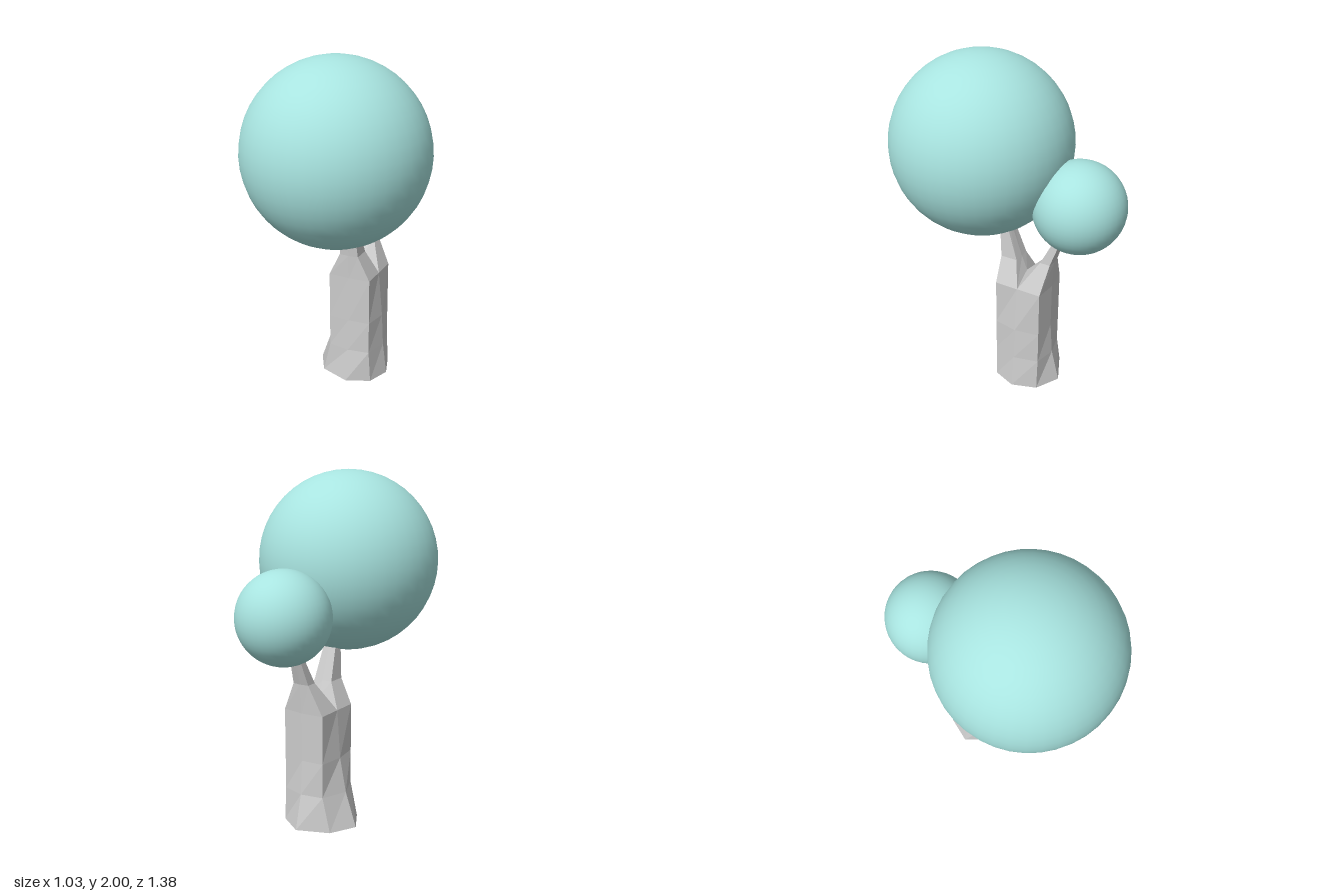
import * as THREE from 'three';

const bark = new THREE.MeshStandardMaterial({ color: 0xcccccc, flatShading: true });
const foliage = new THREE.MeshStandardMaterial({ color: 0xa8e4e0 });

// Skins a stack of equal-length rings (each counter-clockwise seen from above)
function loft(name, rings, capBottom, capTop) {
  const out = [];
  const tri = (a, b, c) => out.push(...a, ...b, ...c);
  const n = rings[0].length;
  for (let r = 0; r < rings.length - 1; r++) {
    for (let i = 0; i < n; i++) {
      const j = (i + 1) % n, lo = rings[r], hi = rings[r + 1];
      tri(lo[i], lo[j], hi[j]);
      tri(lo[i], hi[j], hi[i]);
    }
  }
  const top = rings[rings.length - 1];
  for (let i = 1; i < n - 1; i++) {
    if (capBottom) tri(rings[0][0], rings[0][i + 1], rings[0][i]);
    if (capTop) tri(top[0], top[i], top[i + 1]);
  }
  const g = new THREE.BufferGeometry();
  g.setAttribute('position', new THREE.Float32BufferAttribute(out, 3));
  g.computeVertexNormals();
  const mesh = new THREE.Mesh(g, bark);
  mesh.name = name;
  return mesh;
}

// Eight-sided trunk ring: four side points (left, right, front, back) and four corners
function trunkRing(y, [xL, xR, zF, zB], [cL, cR, cF, cB]) {
  const m = -0.125;
  return [[xL, y, m], [cL, y, cB], [0, y, zB], [cR, y, cB],
    [xR, y, m], [cR, y, cF], [0, y, zF], [cL, y, cF]];
}

// Six-sided branch ring; dir = 1 for the front branch, -1 for the back branch
function branchRing(dir, y, w, inner, outerCorner, outerMid) {
  const s = dir * w;
  return [[s, y, inner + dir * 0.004], [0, y, inner], [-s, y, inner + dir * 0.004],
    [-s, y, outerCorner], [0, y, outerMid], [s, y, outerCorner]];
}

// Branch base: half of the trunk's top ring, closed by the raised fork saddle
function forkRing(dir, corner, mid) {
  const s = dir * 0.13, y = 0.68;
  return [[s, y, -0.125], [0, 0.74, -0.12], [-s, y, -0.125],
    [-s, y, corner], [0, y, mid], [s, y, corner]];
}

function ball(name, radius, y, z) {
  const mesh = new THREE.Mesh(new THREE.SphereGeometry(radius, 40, 24), foliage);
  mesh.position.set(0, y, z);
  mesh.name = name;
  return mesh;
}

export function createModel() {
  const tree = new THREE.Group();
  tree.name = 'tree';

  // Flared trunk
  const corners = [0.13, -0.13, 0.015, -0.27];
  tree.add(loft('trunk', [
    trunkRing(0, [0.19, -0.26, 0.07, -0.35], [0.14, -0.18, 0.01, -0.27]),
    trunkRing(0.2, [0.165, -0.19, 0.035, -0.30], corners),
    trunkRing(0.4, [0.155, -0.15, 0.025, -0.285], corners),
    trunkRing(0.68, [0.13, -0.13, 0.02, -0.285], corners),
  ], true, false));

  // Forked branches, ending inside the foliage
  tree.add(loft('frontBranch', [
    forkRing(1, 0.015, 0.02),
    branchRing(1, 0.825, 0.058, -0.085, 0.02, 0.025),
    branchRing(1, 1.1, 0.033, 0.012, 0.045, 0.05),
  ], false, true));
  tree.add(loft('backBranch', [
    forkRing(-1, -0.27, -0.285),
    branchRing(-1, 0.85, 0.05, -0.225, -0.29, -0.297),
    branchRing(-1, 1.06, 0.028, -0.327, -0.36, -0.365),
  ], false, true));

  // Foliage balls
  tree.add(ball('largeFoliage', 0.515, 1.485, 0.173));
  tree.add(ball('smallFoliage', 0.257, 1.243, -0.431));
  return tree;
}
